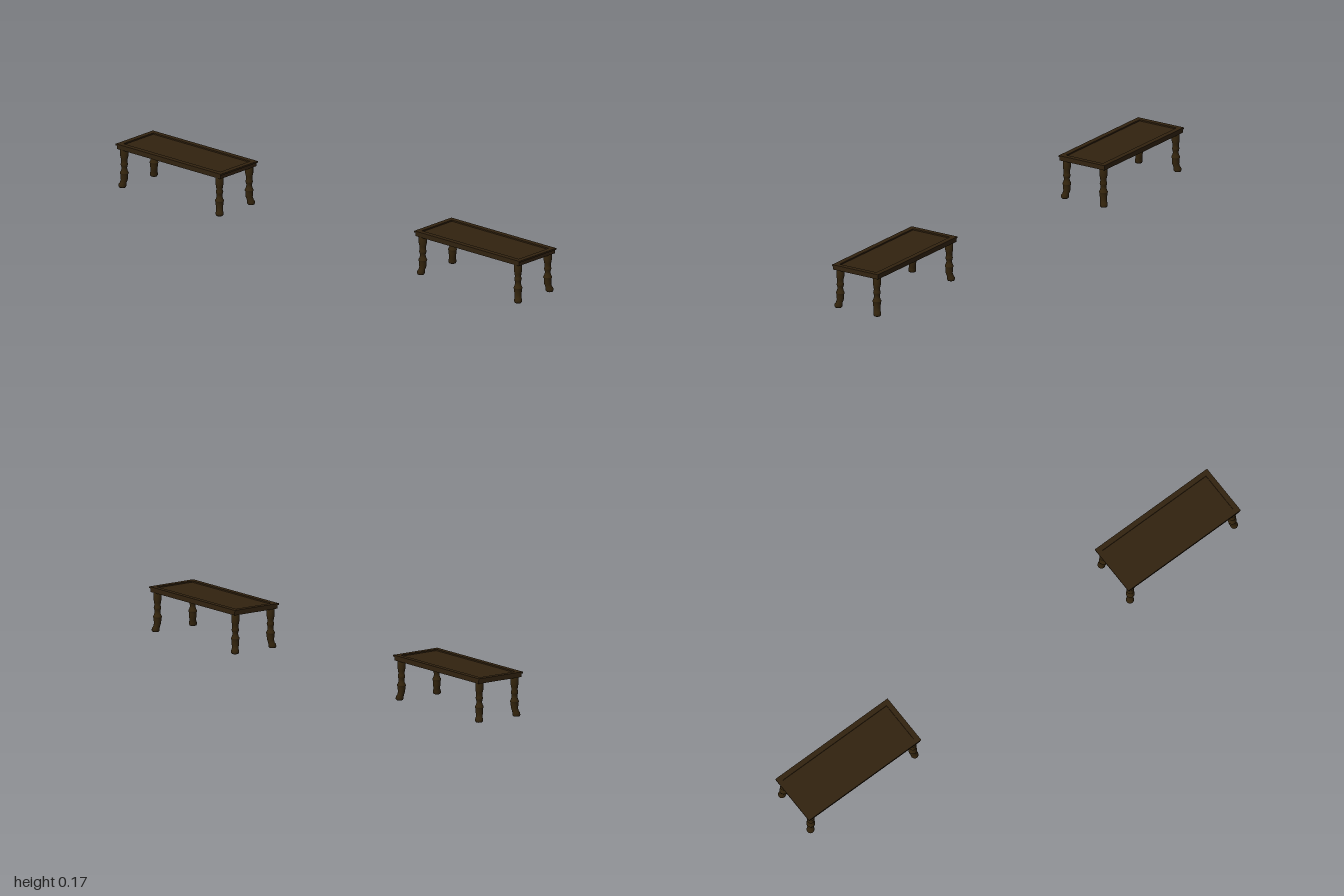
import * as THREE from 'three';

const darkWood = new THREE.MeshStandardMaterial({ color: 0x31220f });
darkWood.name = 'dark wood';
const legWood = new THREE.MeshStandardMaterial({ color: 0x33240d });
legWood.name = 'leg wood';

function add(parent, name, geometry, material, x = 0, y = 0, z = 0) {
  const mesh = new THREE.Mesh(geometry, material);
  mesh.name = name;
  mesh.position.set(x, y, z);
  parent.add(mesh);
  return mesh;
}

// Rectangular frame lying flat, with its underside at y = 0
function frameGeometry(width, depth, border, height) {
  const corners = (w, d) => [[-w, -d], [w, -d], [w, d], [-w, d]].map(([x, y]) => new THREE.Vector2(x / 2, y / 2));
  const shape = new THREE.Shape(corners(width, depth));
  shape.holes.push(new THREE.Path(corners(width - 2 * border, depth - 2 * border).reverse()));
  const geometry = new THREE.ExtrudeGeometry(shape, { depth: height, bevelEnabled: false });
  return geometry.rotateX(-Math.PI / 2);
}

// Turned leg whose foot sweeps outward towards the table corner
function legGeometry(sx, sz) {
  const profile = [
    [0, 0], [0.012, 0], [0.0145, 0.004], [0.0145, 0.012], [0.0125, 0.019],
    [0.013, 0.03], [0.0145, 0.044], [0.0145, 0.052], [0.0165, 0.054], [0.0165, 0.057],
    [0.0135, 0.062], [0.011, 0.07], [0.0105, 0.077], [0.0125, 0.084], [0.014, 0.089],
    [0.0125, 0.094], [0.0115, 0.1], [0.0125, 0.11], [0.015, 0.121], [0.015, 0.155], [0, 0.155],
  ].map(([r, y]) => new THREE.Vector2(r, y));
  const geometry = new THREE.LatheGeometry(profile, 16);
  const position = geometry.attributes.position;
  for (let i = 0; i < position.count; i++) {
    const sweep = 0.005 * (1 - THREE.MathUtils.smoothstep(position.getY(i), 0.008, 0.03));
    position.setX(i, position.getX(i) + sx * sweep);
    position.setZ(i, position.getZ(i) + sz * sweep);
  }
  geometry.computeVertexNormals();
  return geometry;
}

function createTable(name) {
  const table = new THREE.Group();
  table.name = name;

  // Raised lip, apron and recessed panel
  add(table, 'topLip', frameGeometry(0.52, 0.204, 0.02, 0.006), darkWood, 0, 0.162, 0);
  add(table, 'apron', frameGeometry(0.512, 0.199, 0.012, 0.014), darkWood, 0, 0.148, 0);
  add(table, 'topPanel', new THREE.BoxGeometry(0.5, 0.01, 0.186), darkWood, 0, 0.158, 0);

  // Four corner legs
  for (const sx of [-1, 1]) {
    for (const sz of [-1, 1]) {
      const legName = (sz > 0 ? 'front' : 'back') + (sx > 0 ? 'Left' : 'Right') + 'Leg';
      add(table, legName, legGeometry(sx, sz), legWood, sx * 0.236, 0, sz * 0.0815);
    }
  }
  return table;
}

export function createModel() {
  const model = new THREE.Group();
  model.name = 'pairOfTables';
  for (const side of [-1, 1]) {
    const table = createTable(side > 0 ? 'leftTable' : 'rightTable');
    table.position.x = side * 0.74;
    model.add(table);
  }
  return model;
}
